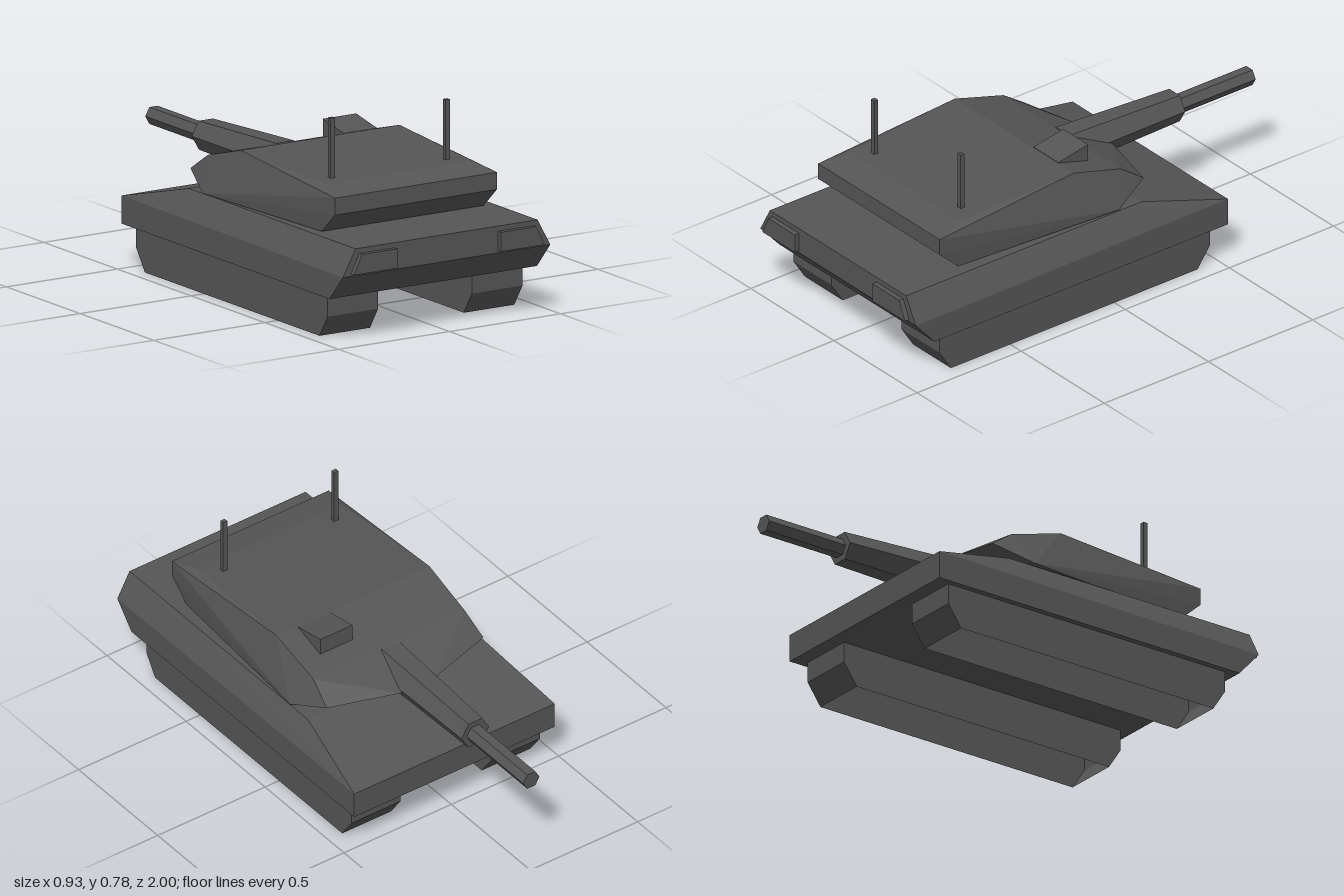
import * as THREE from 'three';
import { ConvexGeometry } from 'three/addons/geometries/ConvexGeometry.js';

const material = new THREE.MeshStandardMaterial({
  color: 0x555555, flatShading: true, side: THREE.DoubleSide });

export function createModel() {
  const model = new THREE.Group();
  model.name = 'tank';

  const add = (name, geometry, x = 0, y = 0, z = 0) => {
    const mesh = new THREE.Mesh(geometry, material);
    mesh.name = name;
    mesh.position.set(x, y, z);
    model.add(mesh);
    return mesh;
  };

  // Faceted solid from the corners of one half, mirrored across x
  const facetedHalf = (corners) => new ConvexGeometry(corners.flatMap(([x, y, z]) => [
    new THREE.Vector3(x, y, z), new THREE.Vector3(-x, y, z)]));

  const extrude = (points, depth) => new THREE.ExtrudeGeometry(
    new THREE.Shape(points.map(([a, b]) => new THREE.Vector2(a, b))),
    { depth, bevelEnabled: false });

  // Side profile of (z, y) points, extruded across x and centred on it
  const sideProfile = (points, width) =>
    extrude(points, width).rotateY(-Math.PI / 2).translate(width / 2, 0, 0);

  // Leaves out the triangles lying on the ground, so the part is hollow from below
  const openBottom = (source) => {
    const p = source.getAttribute('position');
    const kept = [];
    for (let i = 0; i < p.count; i += 3) {
      const corners = [i, i + 1, i + 2];
      if (corners.some((j) => p.getY(j) > 0.001)) {
        corners.forEach((j) => kept.push(p.getX(j), p.getY(j), p.getZ(j)));
      }
    }
    const geometry = new THREE.BufferGeometry();
    geometry.setAttribute('position', new THREE.Float32BufferAttribute(kept, 3));
    geometry.computeVertexNormals();
    return geometry;
  };

  // Six-sided tube with a flat top, pointing along -z
  const hexTube = (tipRadius, rootRadius, length) =>
    new THREE.CylinderGeometry(tipRadius, rootRadius, length, 6, 1, false, Math.PI / 6)
      .rotateX(-Math.PI / 2);

  // Hull with sloped nose, bevelled shoulders and undercut tail
  add('hull', facetedHalf([
    [0.467, 0.167, -0.52], [0.467, 0.276, -0.52],
    [0.41, 0.372, -0.15], [0.41, 0.372, 0.98],
    [0.467, 0.268, 0.98], [0.467, 0.167, 0.89],
  ]));

  // Turret: nose, cheeks, two-slope roof, rear wall and underside
  add('turret', facetedHalf([
    [0.08, 0.425, -0.28], [0.365, 0.435, -0.2],
    [0.08, 0.382, -0.1], [0.418, 0.378, -0.04],
    [0.353, 0.505, -0.1], [0.357, 0.571, 0.13],
    [0.335, 0.545, 0.66], [0.365, 0.521, 0.78],
    [0.365, 0.455, 0.78], [0.365, 0.374, 0.69],
  ]), -0.005);

  // Hollow tracks, tail plates and antennas on both sides
  const track = [[-0.40, 0], [0.785, 0], [0.84, 0.085], [0.84, 0.168],
    [-0.46, 0.168], [-0.46, 0.085]];
  for (const [label, side] of [['left', 1], ['right', -1]]) {
    add(`${label}Track`, openBottom(sideProfile(track, 0.227)), side * 0.325 - 0.004);

    const plate = [[0.233, 0.277], [0.429, 0.277], [0.393, 0.352], [0.233, 0.352]];
    add(`${label}TailPlate`,
      extrude(plate.map(([x, y]) => [x * side, y]), 0.025), -0.001, 0, 0.975);

    add(`${label}Antenna`, new THREE.BoxGeometry(0.02, 0.24, 0.017),
      side * 0.259 - 0.004, 0.66, 0.594);
  }

  // Wedge-shaped roof sight
  add('roofSight', sideProfile(
    [[-0.017, 0.5], [0.125, 0.54], [0.125, 0.571], [-0.017, 0.598]], 0.15), 0.18);

  // Tapered gun sleeve, tilted slightly down, and barrel
  const sleeve = add('gunSleeve', hexTube(0.064, 0.082, 0.54), -0.007, 0.43, -0.372);
  sleeve.rotation.x = -0.018;
  add('gunBarrel', hexTube(0.0375, 0.0375, 0.4), -0.005, 0.425, -0.8);

  return model;
}
